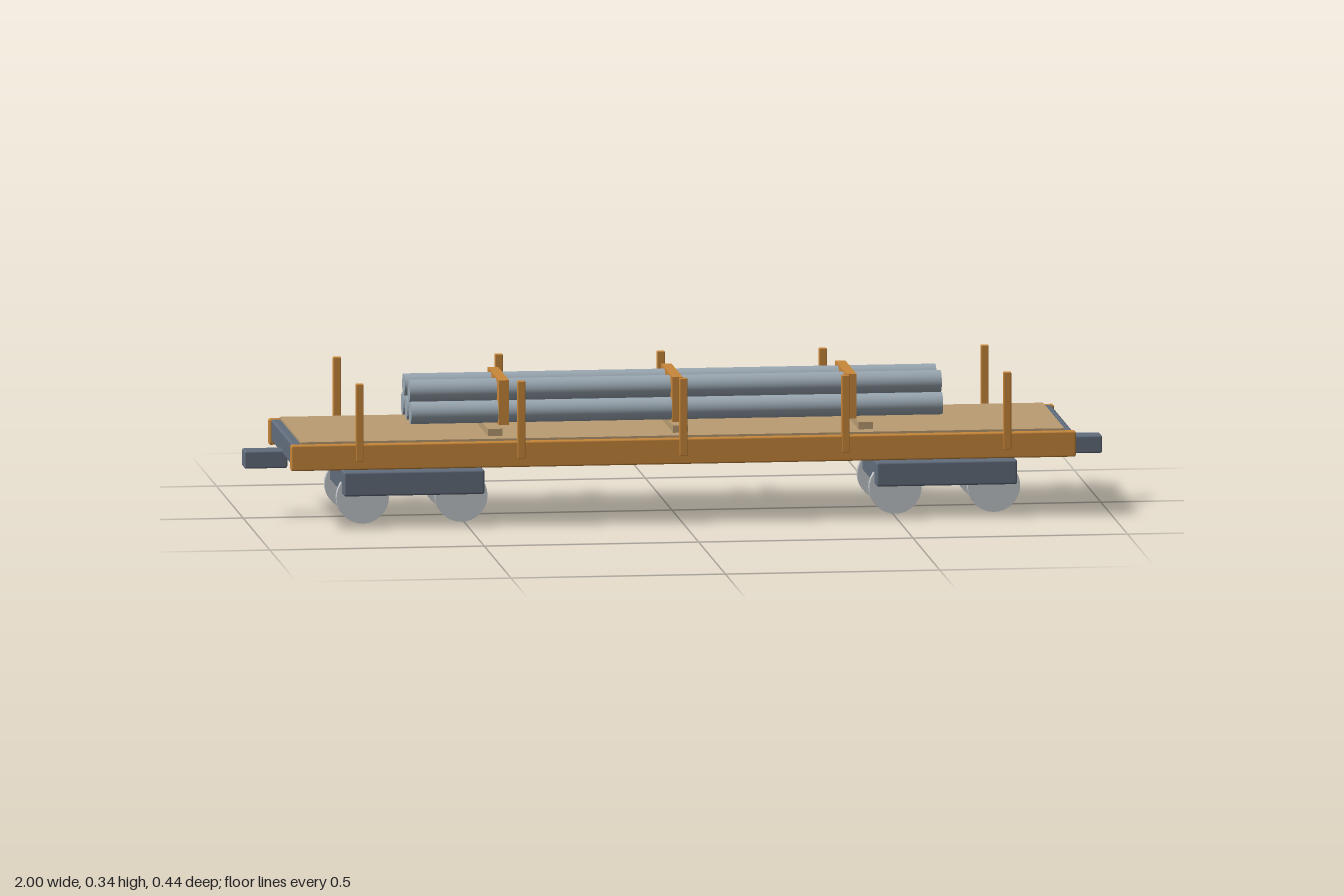
import * as THREE from 'three';
import { RoundedBoxGeometry } from 'three/addons/geometries/RoundedBoxGeometry.js';

const paint = (name, color) => {
  const m = new THREE.MeshStandardMaterial({ color });
  m.name = name;
  return m;
};

export function createModel() {
  const orange = paint('orange paint', 0xc8873a);
  const wood = paint('deck wood', 0xb99c72);
  const slate = paint('slate steel', 0x626d7d);
  const pipeGrey = paint('pipe grey', 0x9ba8b2);
  const wheelGrey = paint('wheel steel', 0xc4c8cb);

  const car = new THREE.Group();
  car.name = 'flatCar';

  const add = (name, geometry, material, x, y, z) => {
    const mesh = new THREE.Mesh(geometry, material);
    mesh.name = name;
    mesh.position.set(x, y, z);
    car.add(mesh);
    return mesh;
  };
  // Box given by its bottom and top heights; bevel softens the edges
  const box = (name, material, x, z, w, y0, y1, d, bevel = 0) => {
    const h = y1 - y0;
    const geo = bevel ? new RoundedBoxGeometry(w, h, d, 2, bevel) : new THREE.BoxGeometry(w, h, d);
    return add(name, geo, material, x, (y0 + y1) / 2, z);
  };

  // Underframe and plank deck
  box('underframe', slate, 0, 0, 1.82, 0.148, 0.2, 0.4, 0.006);
  box('deck', wood, 0, 0, 1.78, 0.19, 0.205, 0.4);

  // Side sills with five stakes each
  for (const s of [-1, 1]) {
    box('sideSill', orange, 0, s * 0.206, 1.83, 0.14, 0.2, 0.022, 0.004);
    for (const x of [-0.755, -0.378, 0, 0.378, 0.755]) {
      box('stake', orange, x, s * 0.211, 0.018, 0.16, 0.341, 0.017, 0.002);
    }
  }

  // Couplers, bogies and wheels at both ends
  const wheel = new THREE.CylinderGeometry(0.061, 0.061, 0.02, 32).rotateX(Math.PI / 2);
  for (const e of [-1, 1]) {
    box('coupler', slate, e * 0.95, 0, 0.1, 0.119, 0.16, 0.054, 0.004);
    box('bogie', slate, e * 0.621, 0, 0.328, 0.07, 0.127, 0.326, 0.005);
    for (const x of [0.506, 0.736]) {
      for (const z of [-0.11, 0.11]) add('wheel', wheel, wheelGrey, e * x, 0.061, z);
    }
  }

  // Pipe load: three below, two above
  const pipe = new THREE.CylinderGeometry(0.026, 0.026, 1.24, 24).rotateZ(Math.PI / 2);
  for (const z of [-0.074, 0, 0.074]) add('pipe', pipe, pipeGrey, 0, 0.25, z);
  for (const z of [-0.049, 0.049]) add('pipe', pipe, pipeGrey, 0, 0.298, z);

  // Bunks under the load and the straps that bind it
  for (const i of [-1, 0, 1]) {
    box('bunk', wood, i * 0.432, 0, 0.034, 0.2, 0.222, 0.318);
    box('strap', orange, i * 0.405, 0, 0.024, 0.222, 0.327, 0.21);
  }

  return car;
}
